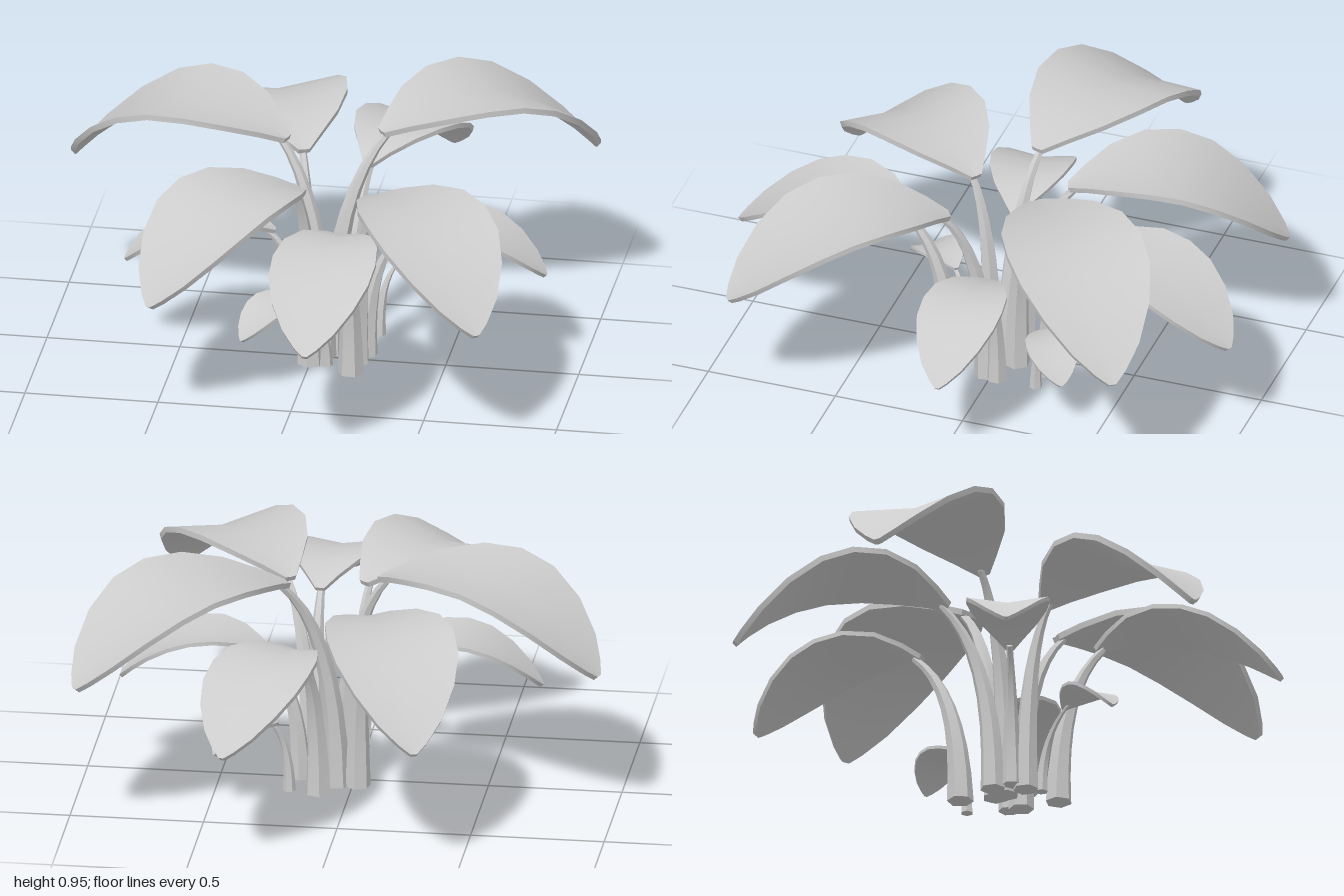
import * as THREE from 'three';
import { toCreasedNormals } from 'three/addons/utils/BufferGeometryUtils.js';

const material = new THREE.MeshStandardMaterial({ color: 0xcccccc });
const V = (x, y, z) => new THREE.Vector3(x, y, z);
const UP = V(0, 1, 0);

// Skins closed rings of points and caps both ends.
function loft(rings, crease) {
  const n = rings[0].length, pos = [], idx = [];
  const add = (p) => pos.push(p.x, p.y, p.z) / 3 - 1;
  rings.forEach((ring) => ring.forEach(add));
  for (let i = 0; i < rings.length - 1; i++) {
    for (let j = 0; j < n; j++) {
      const a = i * n + j, b = i * n + (j + 1) % n;
      idx.push(a, b, b + n, a, b + n, a + n);
    }
  }
  const cap = (k, flip) => {
    const c = add(rings[k].reduce((s, p) => s.add(p), V(0, 0, 0)).divideScalar(n));
    for (let j = 0; j < n; j++) {
      const a = k * n + j, b = k * n + (j + 1) % n;
      idx.push(c, flip ? b : a, flip ? a : b);
    }
  };
  cap(0, true);
  cap(rings.length - 1, false);
  const geo = new THREE.BufferGeometry();
  geo.setAttribute('position', new THREE.Float32BufferAttribute(pos, 3));
  geo.setIndex(idx);
  return toCreasedNormals(geo, crease);
}

// Outline of a blade: [position along the midrib, share of the half width]
const OUTLINE = [[0, 0.09], [0.08, 0.33], [0.2, 0.66], [0.35, 0.91], [0.5, 1],
  [0.64, 0.97], [0.78, 0.79], [0.9, 0.5], [0.97, 0.22], [1, 0.05]];

// Arching blade with a shallow valley fold along the midrib.
function bladeGeometry(l) {
  const [bx, by, bz] = l.base, [tx, ty, tz] = l.tip;
  const dir = V(tx - bx, 0, tz - bz);
  const length = dir.length();
  dir.normalize();
  const side = UP.clone().cross(dir).normalize();
  const height = (t) => t < l.crest
    ? l.peak - (l.peak - by) * (1 - t / l.crest) ** 2
    : l.peak - (l.peak - ty) * ((t - l.crest) / (1 - l.crest)) ** 2;
  const rings = OUTLINE.map(([t, share]) => {
    const slope = (height(t + 0.01) - height(t - 0.01)) / (0.02 * length);
    const normal = dir.clone().addScaledVector(UP, slope).normalize().cross(side);
    const mid = V(bx, height(t), bz).addScaledVector(dir, t * length);
    const w = l.half * share, lift = w * 0.14, h = l.thick / 2;
    const point = (u, v) => mid.clone().addScaledVector(side, u).addScaledVector(normal, v);
    return [point(0, -h), point(w, lift - h), point(w, lift + h),
      point(0, h), point(-w, lift + h), point(-w, lift - h)];
  });
  return loft(rings, 0.7);
}

// Six-sided stalk, thick at the ground and bending outward into the blade.
function stemGeometry(l) {
  const root = V(l.root[0], l.root[1], l.root[2]), base = V(...l.base);
  const dir = V(l.tip[0] - base.x, 0, l.tip[2] - base.z).normalize();
  const end = base.clone().addScaledVector(dir, 0.03).setY(base.y + 0.005);
  const curve = new THREE.CubicBezierCurve3(root,
    root.clone().setY(base.y * 0.55),
    root.clone().lerp(base, 0.45).setY(base.y * 0.85), end);
  const side = UP.clone().cross(dir).normalize();
  const rings = [];
  for (let i = 0; i <= 8; i++) {
    const t = i / 8, p = curve.getPoint(t), tan = curve.getTangent(t);
    const u = side.clone().addScaledVector(tan, -side.dot(tan)).normalize();
    const v = tan.clone().cross(u);
    const r = l.radius * (0.28 + 0.72 * (1 - t) ** 1.3);
    const ring = [];
    for (let j = 0; j < 6; j++) {
      const a = j * Math.PI / 3;
      const p2 = p.clone().addScaledVector(u, r * Math.cos(a)).addScaledVector(v, r * Math.sin(a));
      if (i === 0) p2.y = root.y;
      ring.push(p2);
    }
    rings.push(ring);
  }
  return loft(rings, 0.6);
}

// Leaf sizes shared by several leaves
const LARGE = { half: 0.26, peak: 0.91, crest: 0.4, radius: 0.05, thick: 0.022 };
const MEDIUM = { half: 0.24, peak: 0.8, crest: 0.36, radius: 0.048, thick: 0.022 };
const LOW = { half: 0.195, peak: 0.69, crest: 0.27, radius: 0.05, thick: 0.018 };
const SIDE = { half: 0.155, peak: 0.565, crest: 0.36, radius: 0.04, thick: 0.015 };
const SPROUT = { half: 0.095, peak: 0.34, crest: 0.35, radius: 0.024, thick: 0.012 };

const LEAVES = {
  backLeftLarge: { ...LARGE, root: [0.06, 0, -0.06], base: [0.23, 0.84, -0.19], tip: [0.945, 0.6, -0.745] },
  rightLarge: { ...LARGE, root: [0.04, 0, -0.02], base: [-0.11, 0.84, -0.08], tip: [-0.955, 0.6, -0.365] },
  backRightMedium: { ...MEDIUM, root: [-0.02, 0, -0.06], base: [-0.07, 0.73, -0.22], tip: [-0.35, 0.5, -0.98] },
  frontRightMedium: { ...MEDIUM, root: [0.0, 0, 0.06], base: [-0.02, 0.73, 0.13], tip: [-0.49, 0.5, 0.75] },
  frontLeftMedium: { ...MEDIUM, root: [0.17, 0, 0.02], base: [0.26, 0.73, 0.14], tip: [0.75, 0.51, 0.83] },
  backLow: { ...LOW, root: [0.11, 0.02, -0.2], base: [0.15, 0.63, -0.35], tip: [0.365, 0.455, -1] },
  frontLow: { ...LOW, root: [0.17, 0.02, 0.16], base: [0.17, 0.63, 0.3], tip: [0.135, 0.455, 1] },
  leftSide: { ...SIDE, root: [0.2, 0.01, -0.03], base: [0.31, 0.51, -0.04], tip: [0.87, 0.38, -0.03] },
  rightSide: { ...SIDE, root: [-0.02, 0.01, 0.01], base: [-0.14, 0.51, 0.02], tip: [-0.69, 0.38, 0.08] },
  frontSprout: { ...SPROUT, root: [0.07, 0.02, 0.11], base: [0.0, 0.32, 0.2], tip: [-0.2, 0.23, 0.41] },
  backSprout: { ...SPROUT, peak: 0.315, root: [0.22, 0.02, -0.19], base: [0.26, 0.295, -0.22], tip: [0.475, 0.22, -0.38] },
};

export function createModel() {
  const plant = new THREE.Group();
  plant.name = 'leafyPlant';
  for (const [name, leaf] of Object.entries(LEAVES)) {
    const group = new THREE.Group();
    group.name = name + 'Leaf';
    const blade = new THREE.Mesh(bladeGeometry(leaf), material);
    blade.name = 'blade';
    const stem = new THREE.Mesh(stemGeometry(leaf), material);
    stem.name = 'stem';
    group.add(blade, stem);
    plant.add(group);
  }
  return plant;
}
